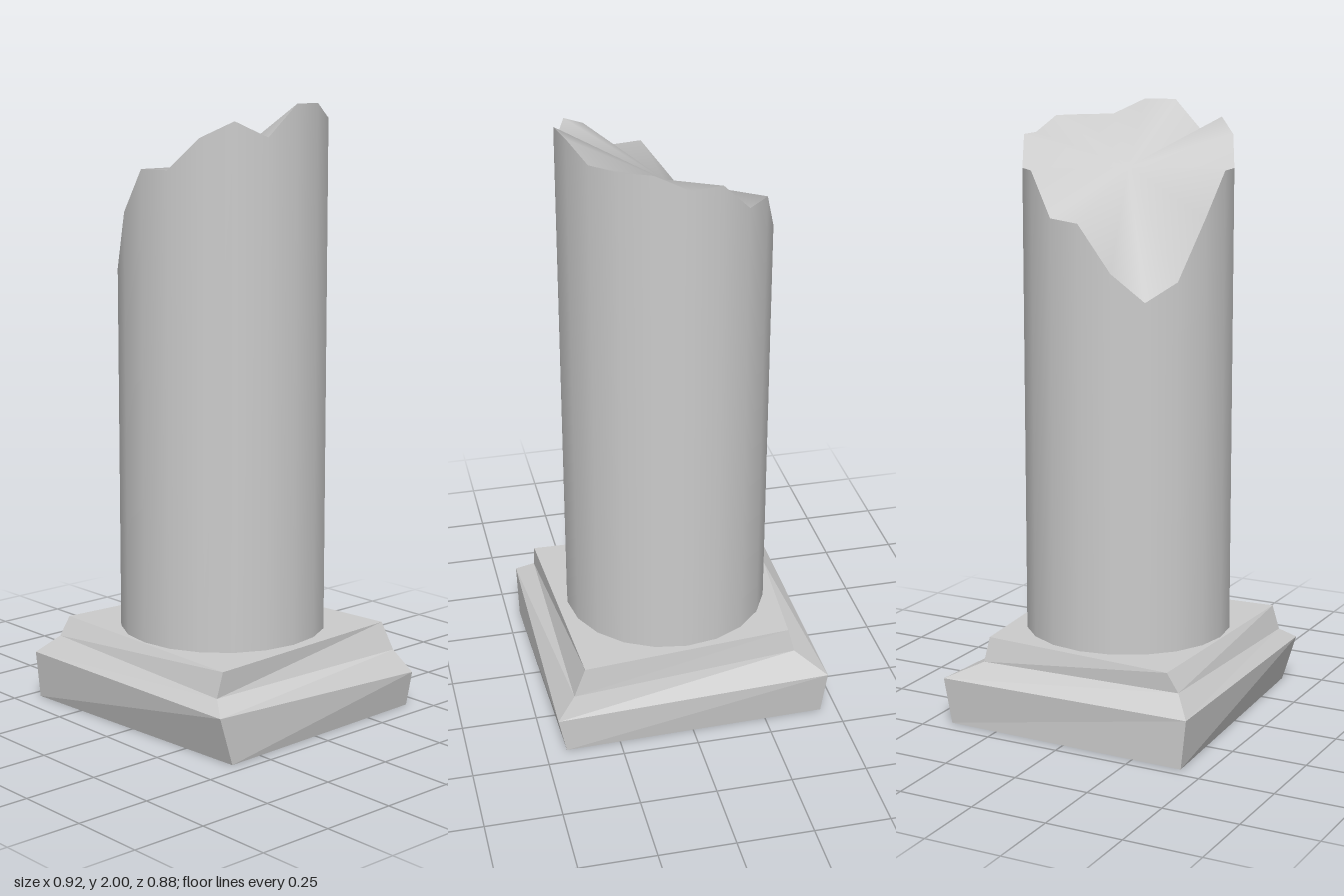
import * as THREE from 'three';
import { mergeVertices } from 'three/addons/utils/BufferGeometryUtils.js';

const RADIUS = 0.34, SIDES = 20, BASE_TOP = 0.28, CENTRE_TOP = 1.8;

// Height of the broken rim at each corner, from +x round through +z
const RIM = [2, 1.9, 1.95, 1.9, 1.8, 1.8, 1.66, 1.47, 1.41, 1.5,
  1.65, 1.66, 1.8, 1.8, 1.9, 1.9, 1.95, 1.95, 1.95, 2];

function rimHeight(x, z) {
  const i = Math.round(Math.atan2(z, x) / (2 * Math.PI / SIDES));
  return RIM[(i + SIDES) % SIDES];
}

// Skins four-cornered loops from bottom to top, closed at both ends
function loft(loops) {
  const points = [];
  const quad = (a, b, c, d) => [a, b, c, a, c, d].forEach((p) => points.push(...p));
  for (let i = 0; i < loops.length - 1; i++) {
    const low = loops[i], high = loops[i + 1];
    for (let j = 0; j < 4; j++) {
      const k = (j + 1) % 4;
      quad(low[j], low[k], high[k], high[j]);
    }
  }
  quad(...loops[loops.length - 1]);
  quad(...[...loops[0]].reverse());
  const geometry = new THREE.BufferGeometry();
  geometry.setAttribute('position', new THREE.Float32BufferAttribute(points, 3));
  geometry.computeVertexNormals();
  return geometry;
}

export function createModel() {
  const model = new THREE.Group();
  model.name = 'brokenColumn';
  const add = (name, geometry, options = {}) => {
    const material = new THREE.MeshStandardMaterial({ color: 0xcccccc, ...options });
    const mesh = new THREE.Mesh(geometry, material);
    mesh.name = name;
    model.add(mesh);
  };

  // Worn base: corners run front left, front right, back right, back left as seen from the front
  add('base', loft([
    [[-0.46, 0, 0.42], [0.455, 0, 0.37], [0.43, 0, -0.44], [-0.445, 0, -0.42]],
    [[-0.46, 0.16, 0.437], [0.455, 0.16, 0.42], [0.455, 0.12, -0.44], [-0.46, 0.155, -0.44]],
    [[-0.397, 0.22, 0.38], [0.395, 0.2, 0.38], [0.395, 0.19, -0.41], [-0.37, 0.2, -0.34]],
    [[-0.397, BASE_TOP, 0.34], [0.395, BASE_TOP, 0.355], [0.355, BASE_TOP, -0.395], [-0.35, BASE_TOP, -0.33]],
  ]), { flatShading: true });

  // Shaft: smooth cylinder whose upper edge follows the break
  const shaft = new THREE.CylinderGeometry(RADIUS, RADIUS, 1, SIDES, 1, true);
  const side = shaft.attributes.position;
  for (let i = 0; i < side.count; i++) {
    side.setY(i, side.getY(i) > 0 ? rimHeight(side.getX(i), side.getZ(i)) : BASE_TOP);
  }
  add('shaft', shaft);

  // Broken top: fan from the centre to the jagged rim
  let top = new THREE.CircleGeometry(RADIUS, SIDES).rotateX(-Math.PI / 2);
  const fan = top.attributes.position;
  for (let i = 0; i < fan.count; i++) {
    fan.setY(i, i === 0 ? CENTRE_TOP : rimHeight(fan.getX(i), fan.getZ(i)));
  }
  top.deleteAttribute('uv');
  top.deleteAttribute('normal');
  top = mergeVertices(top);
  top.computeVertexNormals();
  add('brokenTop', top);

  return model;
}
